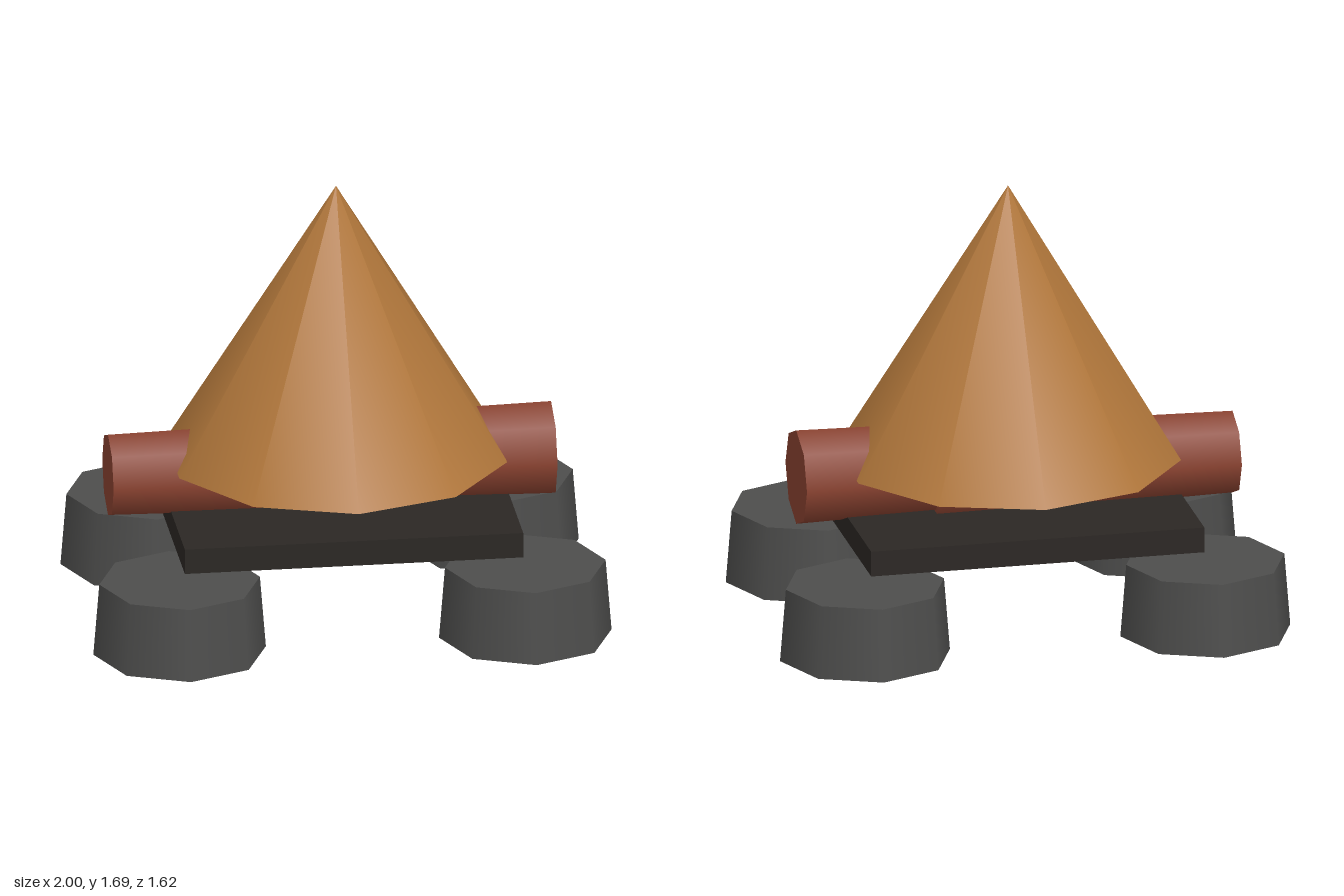
import * as THREE from 'three';

export function createModel() {
  const model = new THREE.Group();
  const material = (color) => new THREE.MeshStandardMaterial({ color });
  const coneMat = material(0xb0763a);
  const logMat = material(0x8a4230);
  const slabMat = material(0x2b2724);
  const footMat = material(0x4d4d4c);

  function add(name, geometry, mat, x, y, z) {
    const mesh = new THREE.Mesh(geometry, mat);
    mesh.name = name;
    mesh.position.set(x, y, z);
    model.add(mesh);
    return mesh;
  }

  // Four tapered octagonal feet
  const footGeo = new THREE.CylinderGeometry(0.31, 0.333, 0.287, 8);
  for (const [sx, side] of [[1, 'Left'], [-1, 'Right']]) {
    for (const [sz, end] of [[1, 'front'], [-1, 'back']]) {
      add(`${end}${side}Foot`, footGeo, footMat, sx * 0.667, 0.1435, sz * 0.475);
    }
  }

  // Flat slab
  add('slab', new THREE.BoxGeometry(1.306, 0.1, 1.044), slabMat, 0, 0.382, 0);

  // Two overlapping tapered logs lying along x, thicker towards +x
  const logGeo = new THREE.CylinderGeometry(0.165, 0.189, 1.19, 8).rotateZ(Math.PI / 2);
  add('rightLog', logGeo, logMat, -0.285, 0.547, 0);
  add('leftLog', logGeo, logMat, 0.235, 0.572, 0);

  // Ten-sided cone
  add('cone', new THREE.ConeGeometry(0.665, 1.09, 10), coneMat, 0, 1.145, 0);

  return model;
}
